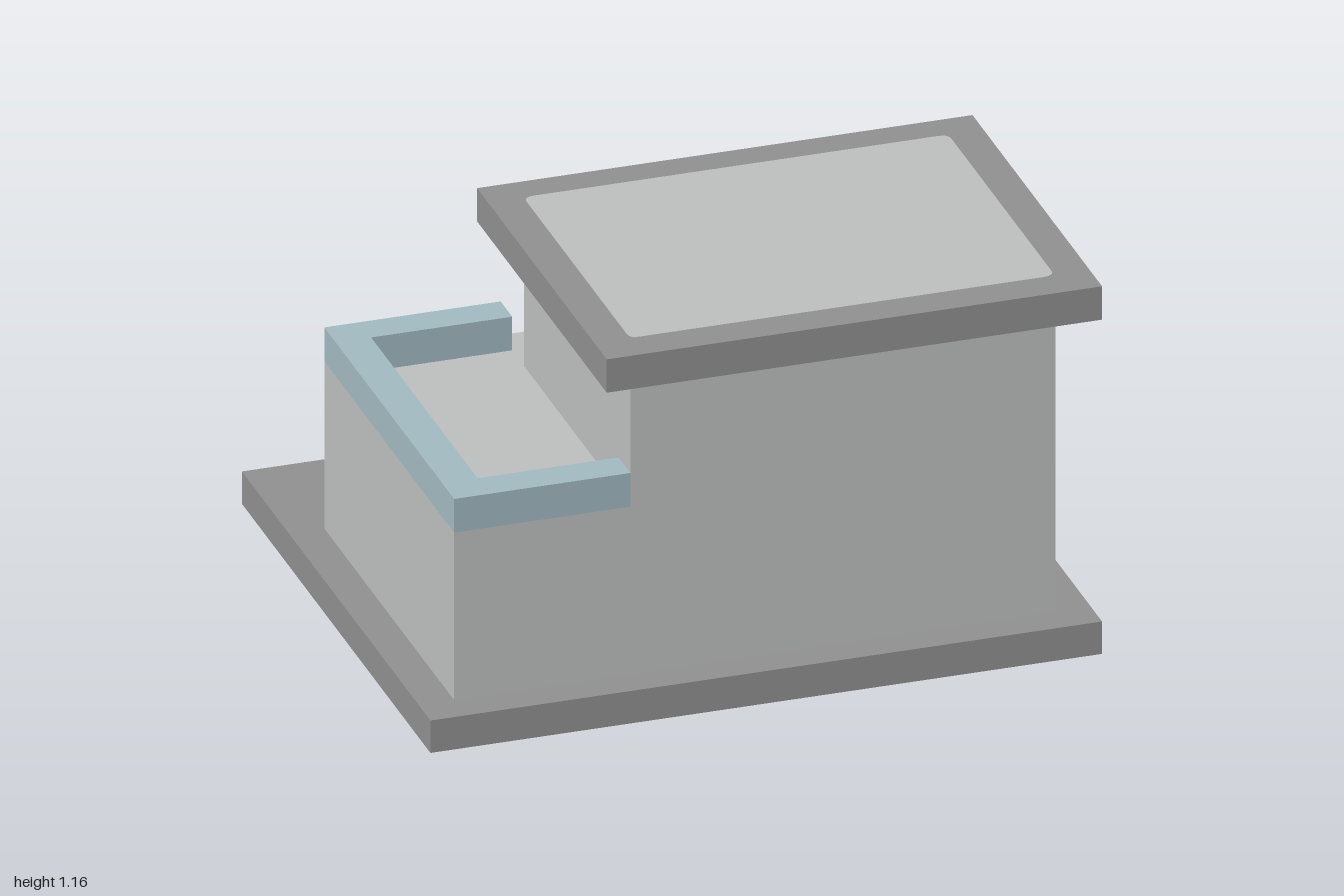
import * as THREE from 'three';

const material = (name, color) => Object.assign(new THREE.MeshStandardMaterial({ color }), { name });

export function createModel() {
  const stone = material('grey stone', 0x8f8f8f);
  const plaster = material('light plaster', 0xbcbebd);
  const glass = material('pale blue glass', 0xa0b8c0);
  const water = material('pool water', 0x3a9dc0);
  const deep = material('deep water', 0x3455b5);

  const model = new THREE.Group();
  model.name = 'house';

  // Box given by its limits on each axis
  const box = (name, mat, [x0, x1], [y0, y1], [z0, z1]) => {
    const mesh = new THREE.Mesh(new THREE.BoxGeometry(x1 - x0, y1 - y0, z1 - z0), mat);
    mesh.position.set((x0 + x1) / 2, (y0 + y1) / 2, (z0 + z1) / 2);
    mesh.name = name;
    model.add(mesh);
  };

  // Thin rounded plate of width w and height h, turned to face one side
  const turns = {
    left: [0, Math.PI / 2, 0],
    back: [0, Math.PI, 0],
    up: [-Math.PI / 2, 0, 0],
    down: [Math.PI / 2, 0, 0],
  };
  const plate = (name, mat, side, w, h, r, position) => {
    const x = w / 2, y = h / 2;
    const s = new THREE.Shape();
    s.moveTo(-x + r, -y).lineTo(x - r, -y).quadraticCurveTo(x, -y, x, -y + r);
    s.lineTo(x, y - r).quadraticCurveTo(x, y, x - r, y);
    s.lineTo(-x + r, y).quadraticCurveTo(-x, y, -x, y - r);
    s.lineTo(-x, -y + r).quadraticCurveTo(-x, -y, -x + r, -y);
    const geometry = new THREE.ExtrudeGeometry(s, { depth: 0.004, bevelEnabled: false, curveSegments: 5 });
    const mesh = new THREE.Mesh(geometry, mat);
    mesh.rotation.set(...turns[side]);
    mesh.position.set(...position);
    mesh.name = name;
    model.add(mesh);
  };

  // Ground slab with a panel underneath
  box('groundSlab', stone, [-1, 1], [0.003, 0.105], [-0.84, 0.84]);
  plate('undersidePanel', plaster, 'down', 1.58, 0.93, 0.03, [0, 0.004, 0.165]);

  // Pool running through the back edge of the slab
  box('pool', water, [0.16, 0.79], [0.001, 0.107], [-0.842, -0.53]);
  plate('deepPoolTop', deep, 'up', 0.42, 0.105, 0.015, [0.47, 0.105, -0.69]);
  plate('deepPoolBottom', deep, 'down', 0.42, 0.105, 0.015, [0.47, 0.003, -0.69]);

  // Two storeys and the overhanging roof
  box('lowerStorey', plaster, [-0.895, 0.895], [0.105, 0.632], [-0.42, 0.737]);
  box('upperStorey', plaster, [-0.37, 0.895], [0.632, 1.055], [-0.21, 0.737]);
  box('roof', stone, [-0.475, 1], [1.055, 1.16], [-0.315, 0.84]);
  plate('roofPanel', plaster, 'up', 1.265, 0.95, 0.03, [0.262, 1.158, 0.26]);

  // Parapet around the terrace
  const rail = [0.632, 0.738];
  box('sideParapet', glass, [-0.895, -0.79], rail, [-0.42, 0.737]);
  box('backParapet', glass, [-0.79, -0.37], rail, [-0.42, -0.317]);
  box('frontParapet', glass, [-0.79, -0.37], rail, [0.632, 0.737]);

  // Side windows, three on each storey
  for (const z of [0.37, 0.16, -0.053]) {
    plate('lowerSideWindow', glass, 'left', 0.108, 0.21, 0.03, [0.893, 0.317, z]);
    plate('upperSideWindow', glass, 'left', 0.108, 0.106, 0.03, [0.893, 0.79, z]);
  }

  // Back windows and the narrow door between them
  for (const x of [-0.42, 0.42]) {
    plate('lowerBackWindow', glass, 'back', 0.74, 0.312, 0.03, [x, 0.263, -0.418]);
  }
  plate('upperBackWindow', glass, 'back', 1.055, 0.21, 0.03, [0.26, 0.845, -0.208]);
  box('backDoor', stone, [-0.05, 0.05], [0.105, 0.316], [-0.422, -0.418]);

  return model;
}
